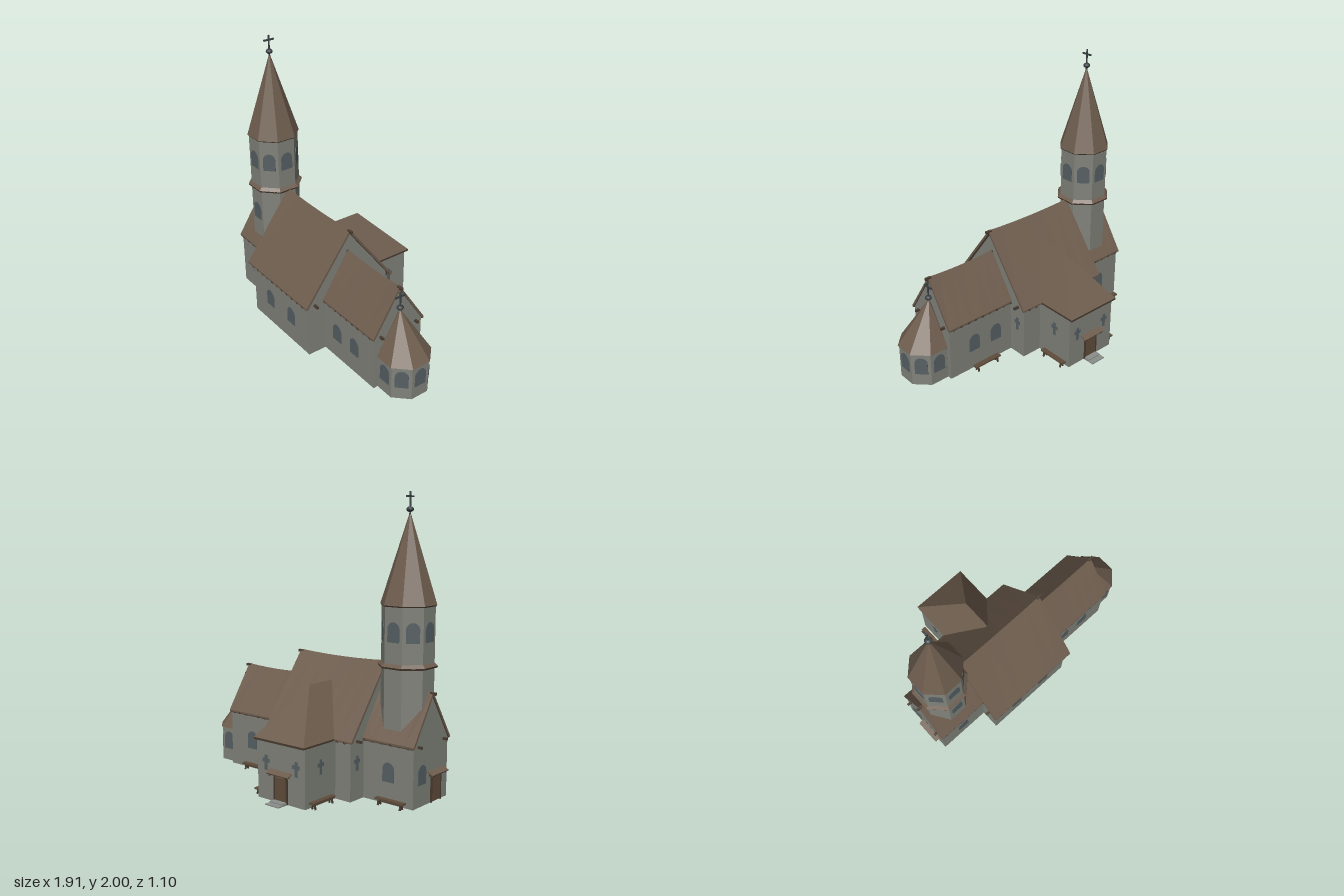
import * as THREE from 'three';

const mat = (name, color) => Object.assign(new THREE.MeshStandardMaterial({ color }), { name });

export function createModel() {
  const wall = mat('grey plaster', 0x80827a);
  const roof = mat('brown shingle', 0x6e5d4e);
  const glass = mat('slate glass', 0x566064);
  const wood = mat('brown wood', 0x5f4c3b);
  const trim = mat('dark timber', 0x4a3c30);
  const iron = mat('dark iron', 0x3a4043);
  const stone = mat('pale stone', 0x8b8f8a);
  const root = new THREE.Group();
  root.name = 'church';
  const ZC = 0.18; // main axis of the church
  const EAVE = 0.41;

  const add = (name, geo, m, x = 0, y = 0, z = 0, ry = 0, parent = root) => {
    const mesh = new THREE.Mesh(geo, m);
    mesh.name = name;
    mesh.position.set(x, y, z);
    mesh.rotation.y = ry;
    parent.add(mesh);
    return mesh;
  };
  const box = (name, m, w, h, d, x, y, z, ry = 0, parent = root) =>
    add(name, new THREE.BoxGeometry(w, h, d), m, x, y, z, ry, parent);
  const flat = (geo) => {
    const g = geo.index ? geo.toNonIndexed() : geo;
    g.computeVertexNormals();
    return g;
  };
  // Octagonal prism or frustum with flats facing the axes, sized by apothem
  const octagon = (top, bottom, h) => {
    const k = 1 / Math.cos(Math.PI / 8);
    return flat(new THREE.CylinderGeometry(top * k, bottom * k, h, 8).rotateY(Math.PI / 8));
  };
  const polyShape = (pts) => new THREE.Shape(pts.map((p) => new THREE.Vector2(...p)));
  // Extrude an outline in the z-y plane from x0 to x1
  const alongX = (pts, x0, x1, steps = 1) =>
    new THREE.ExtrudeGeometry(polyShape(pts), { depth: x1 - x0, steps, bevelEnabled: false })
      .rotateY(Math.PI / 2).translate(x0, 0, ZC);

  // Gabled blocks: wall body, sagging roof, purlin ends and rafter tails
  function gabledBlock(name, wx0, wx1, rx0, rx1, hw, hr, ridge) {
    const t = 0.024, slope = (ridge - EAVE) / hr;
    const shoulder = ridge - t - 0.003 - hw * slope;
    add(name + 'Walls', alongX(
      [[-hw, 0], [hw, 0], [hw, shoulder], [0, ridge - t - 0.003], [-hw, shoulder]], wx0, wx1), wall);
    const g = alongX([[-hr, EAVE], [-hr, EAVE - 0.012], [-hr + 0.012, EAVE - 0.012], [0, ridge - t],
      [hr - 0.012, EAVE - 0.012], [hr, EAVE - 0.012], [hr, EAVE], [0, ridge]], rx0, rx1, 6);
    const p = g.attributes.position;
    for (let i = 0; i < p.count; i++) {
      const u = (p.getX(i) - rx0) / (rx1 - rx0);
      const v = 1 - Math.abs(p.getZ(i) - ZC) / hr;
      p.setY(i, p.getY(i) - 0.048 * u * (1 - u) * v);
    }
    add(name + 'Roof', flat(g), roof);
    for (const s of [-1, 1]) {
      box(name + 'EavePlate', trim, wx1 - wx0, 0.012, 0.014, (wx0 + wx1) / 2, EAVE - 0.012, ZC + s * (hw + 0.005));
      const n = Math.round((wx1 - wx0) / 0.065);
      for (let i = 0; i < n; i++) {
        const x = wx0 + (i + 0.5) * (wx1 - wx0) / n;
        box(name + 'RafterTail', trim, 0.016, 0.014, hr - hw, x, EAVE - 0.012, ZC + s * (hw + hr) / 2);
      }
      for (const x of [rx0, rx1]) box(name + 'PurlinEnd', trim, 0.04, 0.016, 0.016, x, EAVE - 0.01, ZC + s * (hw - 0.05));
    }
    for (const x of [rx0, rx1]) box(name + 'RidgeEnd', trim, 0.044, 0.018, 0.018, x, ridge - 0.012, ZC);
  }
  gabledBlock('nave', -0.52, 0.168, -0.55, 0.195, 0.337, 0.367, 0.898);
  gabledBlock('westWing', -0.912, -0.5, -0.922, -0.5, 0.197, 0.213, 0.735);
  gabledBlock('chancel', 0.15, 0.71, 0.15, 0.72, 0.197, 0.213, 0.735);

  // Rear transept with hipped roof
  const TX = -0.19;
  box('transeptWalls', wall, 0.41, 0.405, 0.57, TX, 0.2025, -0.175);
  box('transeptEaveBoard', trim, 0.43, 0.014, 0.40, TX, 0.404, -0.288);
  const E1 = [-0.407, EAVE, -0.488], E2 = [0.025, EAVE, -0.488];
  const F1 = [-0.407, EAVE, 0.05], F2 = [0.025, EAVE, 0.05];
  const R1 = [-0.183, 0.737, -0.17], R2 = [-0.183, 0.737, 0.055];
  const quad = (a, b, c, d) => [a, b, c, a, c, d];
  const hip = new THREE.BufferGeometry();
  hip.setAttribute('position', new THREE.Float32BufferAttribute(
    [...quad(E1, F1, R2, R1), ...quad(E2, R1, R2, F2), E1, R1, E2, ...quad(E1, E2, F2, F1)].flat(), 3));
  add('transeptRoof', flat(hip), roof);

  // West tower with belfry and spire
  const TWX = -0.72;
  add('towerShaft', octagon(0.163, 0.163, 1.28), wall, TWX, 0.64, ZC);
  add('towerLedge', octagon(0.163, 0.184, 0.022), roof, TWX, 0.902, ZC);
  add('towerLedgeBoard', octagon(0.184, 0.18, 0.012), trim, TWX, 0.886, ZC);
  add('spireEave', octagon(0.17, 0.166, 0.008), trim, TWX, 1.279, ZC);
  add('spire', octagon(0.002, 0.172, 0.585), roof, TWX, 1.5755, ZC);

  // Octagonal apse with its roof peak pulled back to the gable
  const AX = 0.78;
  add('apseWalls', octagon(0.163, 0.163, 0.25), wall, AX, 0.125, ZC);
  const cap = octagon(0.002, 0.172, 0.31);
  const cp = cap.attributes.position;
  for (let i = 0; i < cp.count; i++) if (cp.getY(i) > 0) cp.setX(i, cp.getX(i) - 0.055);
  add('apseRoof', flat(cap), roof, AX, 0.405, ZC);

  // Finial crosses
  function finial(x, y, top) {
    add('finialBall', new THREE.SphereGeometry(0.024, 12, 8).scale(1, 0.75, 1), iron, x, y, ZC);
    add('finialPole', new THREE.CylinderGeometry(0.006, 0.006, top - y + 0.04, 8), iron, x, (top + y - 0.04) / 2, ZC);
    box('finialCrossbar', iron, 0.01, 0.011, 0.08, x, top - 0.033, ZC);
  }
  finial(TWX, 1.886, 2.0);
  finial(0.725, 0.576, 0.695);

  // Arched windows, thin plates facing along ry
  const arch = new THREE.Shape();
  arch.moveTo(-0.045, 0);
  arch.lineTo(0.045, 0);
  arch.lineTo(0.045, 0.085);
  arch.absarc(0, 0.085, 0.045, 0, Math.PI);
  const archGeo = new THREE.ExtrudeGeometry(arch, { depth: 0.006, bevelEnabled: false, curveSegments: 8 });
  const windowAt = (x, y, z, ry) => add('window', archGeo, glass, x, y, z, ry);
  for (const x of [-0.31, -0.045]) windowAt(x, 0.145, ZC + 0.335, 0);
  for (const x of [-0.72, 0.31, 0.5]) {
    windowAt(x, 0.145, ZC + 0.195, 0);
    windowAt(x, 0.145, ZC - 0.195, Math.PI);
  }
  windowAt(-0.91, 0.145, 0.08, -Math.PI / 2);
  windowAt(TWX, 0.63, ZC + 0.161, 0);
  for (let i = 0; i < 8; i++) {
    const a = i * Math.PI / 4, s = Math.sin(a) * 0.161, c = Math.cos(a) * 0.161;
    windowAt(TWX + s, 1.05, ZC + c, a);
    if (i < 5) windowAt(AX + s, 0.09, ZC + c, a);
  }

  // Cross-shaped windows
  function crossWindow(x, z, ry) {
    const g = new THREE.Group();
    g.name = 'crossWindow';
    g.position.set(x, 0.25, z);
    g.rotation.y = ry;
    box('crossUpright', glass, 0.022, 0.1, 0.008, 0, 0, 0, 0, g);
    box('crossArm', glass, 0.058, 0.026, 0.007, 0, 0.014, 0, 0, g);
    root.add(g);
  }
  crossWindow(0.169, -0.09, Math.PI / 2);
  crossWindow(-0.521, -0.09, -Math.PI / 2);
  crossWindow(0.016, -0.31, Math.PI / 2);
  crossWindow(-0.396, -0.31, -Math.PI / 2);
  for (const s of [-1, 1]) crossWindow(TX + s * 0.13, -0.461, Math.PI);

  // Doors with sloping canopies
  function doorway(x, z, ry) {
    const g = new THREE.Group();
    g.name = 'doorway';
    g.position.set(x, 0, z);
    g.rotation.y = ry;
    box('door', wood, 0.1, 0.165, 0.008, 0, 0.0875, 0.003, 0, g);
    for (const s of [-1, 1]) {
      box('doorPost', trim, 0.01, 0.175, 0.012, s * 0.053, 0.0875, 0.004, 0, g);
      box('canopyBracket', trim, 0.01, 0.01, 0.04, s * 0.07, 0.185, 0.018, 0, g);
    }
    box('canopy', roof, 0.185, 0.009, 0.046, 0, 0.202, 0.02, 0, g).rotation.x = 0.45;
    root.add(g);
  }
  doorway(-0.912, 0.24, -Math.PI / 2);
  doorway(TX, -0.46, Math.PI);
  box('doorStepUpper', stone, 0.11, 0.016, 0.05, TX, 0.008, -0.485);
  box('doorStepLower', stone, 0.115, 0.008, 0.09, TX, 0.004, -0.505);

  // Benches along the rear walls
  function bench(x, z, ry) {
    const g = new THREE.Group();
    g.name = 'bench';
    g.position.set(x, 0, z);
    g.rotation.y = ry;
    box('benchSeat', wood, 0.22, 0.012, 0.036, 0, 0.043, 0, 0, g);
    box('benchRail', trim, 0.18, 0.008, 0.008, 0, 0.03, 0, 0, g);
    for (const sx of [-1, 1]) for (const sz of [-1, 1]) {
      box('benchLeg', trim, 0.012, 0.038, 0.008, sx * 0.085, 0.019, sz * 0.01, 0, g).rotation.x = -sz * 0.2;
    }
    root.add(g);
  }
  bench(-0.77, -0.065, 0);
  bench(0.43, -0.065, 0);
  bench(0.048, -0.335, Math.PI / 2);
  bench(-0.43, -0.33, Math.PI / 2);

  return root;
}
